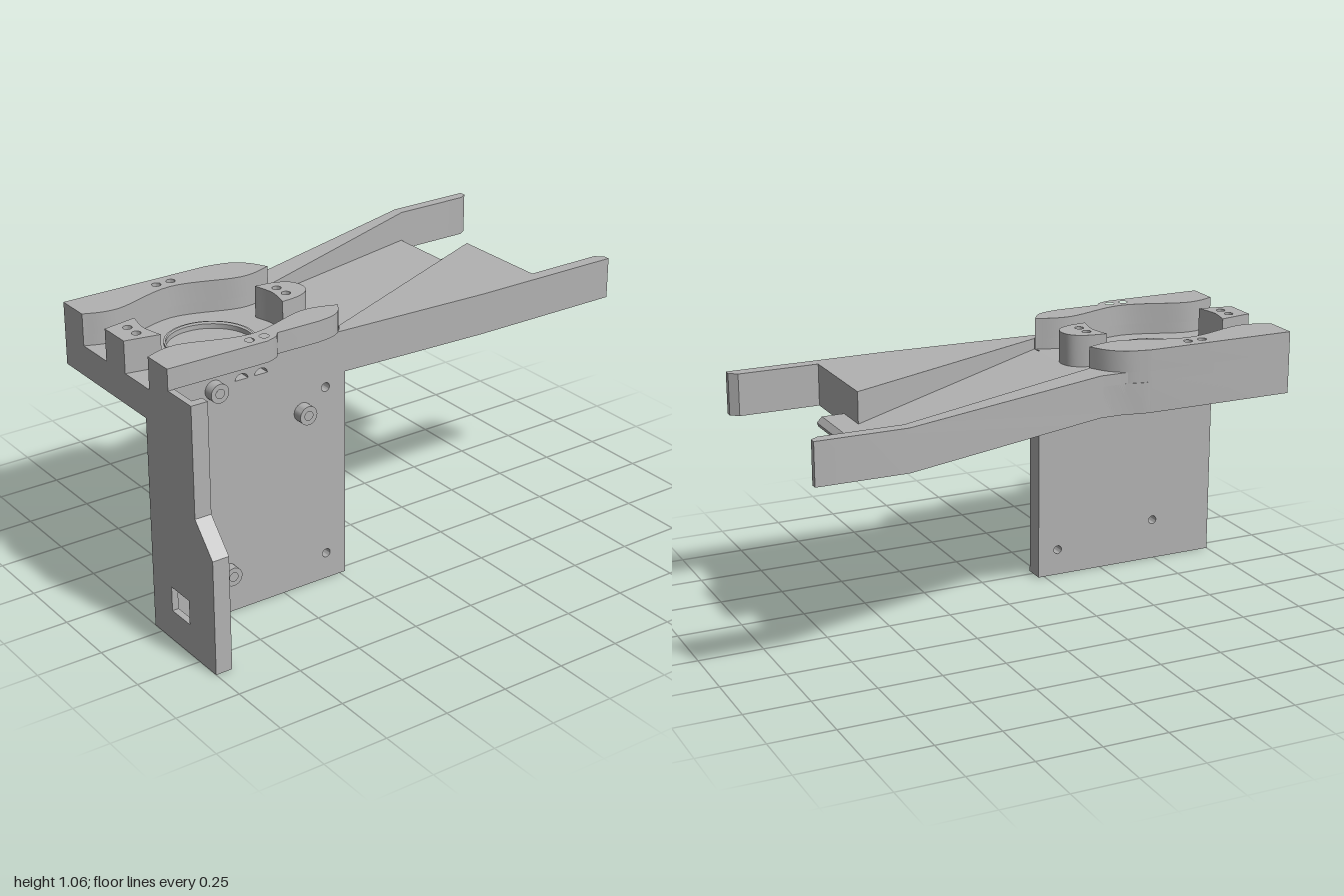
import * as THREE from 'three';
import { toCreasedNormals } from 'three/addons/utils/BufferGeometryUtils.js';

const grey = new THREE.MeshStandardMaterial({ color: 0xb2b2b2 });
grey.name = 'grey plastic';

const V = (p) => new THREE.Vector2(p[0], p[1]);

// Shape from an outline, with round [x, y, r] or polygonal holes
function makeShape(outline, holes = []) {
  const s = new THREE.Shape(outline.map(V));
  for (const h of holes) {
    const path = new THREE.Path();
    if (typeof h[0] === 'number') path.absarc(h[0], h[1], h[2], 0, Math.PI * 2, true);
    else path.setFromPoints(h.map(V));
    s.holes.push(path);
  }
  return s;
}

function extrude(outline, depth, holes) {
  return new THREE.ExtrudeGeometry(makeShape(outline, holes), { depth, bevelEnabled: false, curveSegments: 24 });
}

// Plan outline in [x, z], raised from y0 to y1
function plan(outline, y0, y1, holes = []) {
  const flipped = holes.map(([x, z, r]) => [x, -z, r]);
  return extrude(outline.map(([x, z]) => [x, -z]), y1 - y0, flipped).rotateX(-Math.PI / 2).translate(0, y0, 0);
}

// Outline in [z, y], raised from x0 to x1
function side(outline, x0, x1, holes = []) {
  const flipped = holes.map(([z, y, r]) => [-z, y, r]);
  return extrude(outline.map(([z, y]) => [-z, y]), x1 - x0, flipped).rotateY(Math.PI / 2).translate(x0, 0, 0);
}

const circle = (x, z, r, n = 64) => Array.from({ length: n }, (_, i) => {
  const a = (i / n) * Math.PI * 2;
  return [x + r * Math.cos(a), z + r * Math.sin(a)];
});
const spline = (pts, n = 28) => new THREE.SplineCurve(pts.map(V)).getPoints(n).map((p) => [p.x, p.y]);
const rect = (x0, y0, x1, y1) => [[x0, y0], [x1, y0], [x1, y1], [x0, y1]];

export function createModel() {
  const model = new THREE.Group();
  const add = (name, geo) => {
    const mesh = new THREE.Mesh(toCreasedNormals(geo, 0.5), grey);
    mesh.name = name;
    model.add(mesh);
  };

  const R = 0.017;
  const cx = 0.005, cz = 0.615;

  // Cradle floor with a round recess and raised lip
  add('cradleBase', plan(
    [[-0.355, 1], [0.2, 1], [0.2, 0.22], [-0.335, 0.22], [-0.335, 0.31], [-0.352, 0.37], [-0.355, 0.42]],
    0.82, 0.938, [[cx, cz, 0.158], [0.035, 0.31, R], [-0.025, 0.93, R]]));
  add('recessBottom', plan(circle(cx, cz, 0.159), 0.82, 0.9));
  add('recessFloor', plan(circle(cx, cz, 0.159), 0.9, 0.92, [[cx, cz, 0.016]]));
  add('recessLip', plan(circle(cx, cz, 0.166), 0.925, 0.946, [[cx, cz, 0.158]]));

  // Wavy side rails
  const wave = (s, o) => spline([[s * 0.225 + o, 1], [s * 0.195 + o, 0.87], [s * 0.265 + o, cz],
    [s * 0.195 + o, 0.36], [s * 0.225 + o, 0.22]]);
  const leftArc = spline([[0.23, 0.22], [0.28, 0.255], [0.305, 0.3], [0.315, 0.36]], 12);
  const rightArc = spline([[-0.22, 0.22], [-0.29, 0.26], [-0.335, 0.32], [-0.355, 0.41]], 12);
  const step = spline([[0.315, 0.535], [0.338, 0.555], [0.355, 0.6]], 8);
  const leftRail = [...wave(1, 0.005).slice(0, -1), ...leftArc, ...step, [0.355, 1]];
  const rightRail = [...wave(-1, 0.005).slice(0, -1), ...rightArc, [-0.355, 1]];
  const screws = (x) => [[x, 0.587, R], [x, 0.647, R]];
  add('leftRail', plan(leftRail, 0.98, 1.06, screws(0.312)));
  add('leftRailFoot', plan([...wave(1, 0.005), [0.28, 0.25], [0.28, 1]], 0.93, 0.98));
  add('rightRail', plan(rightRail, 0.98, 1.06, screws(-0.305)));
  add('rightRailFoot', plan(rightRail, 0.82, 0.98));

  // Centre posts with edges curved around the recess
  const arcFront = spline([[0.095, 0.868], [cx, 0.885], [-0.085, 0.868]], 12);
  const arcBack = spline([[-0.085, 0.365], [cx, 0.347], [0.095, 0.365]], 12);
  const dome = spline([[0.095, 0.365], [0.085, 0.29], [0.055, 0.237], [cx, 0.22],
    [-0.045, 0.237], [-0.075, 0.29], [-0.085, 0.365]], 28);
  add('frontPost', plan([...arcFront, [-0.075, 0.92], [-0.06, 1], [0.07, 1], [0.085, 0.92]],
    0.93, 1.06, [[-0.025, 0.93, R], [0.035, 0.93, R]]));
  add('backPost', plan([...arcBack, ...dome.slice(1, -1)], 0.93, 1.06, [[-0.025, 0.31, R], [0.035, 0.31, R]]));

  // Tail channel floor, sloping down to the back
  const floor = plan([[-0.565, -0.66], [0.255, -0.66], [0.28, 0.22], [-0.3, 0.22]], 0.82, 0.9);
  const pos = floor.attributes.position;
  for (let i = 0; i < pos.count; i++) {
    if (pos.getY(i) > 0.85) pos.setY(i, 0.86 + 0.078 * (pos.getZ(i) + 0.66) / 0.88);
  }
  add('tailFloor', floor);

  // Tail walls running out into the two arms
  add('rightArm', plan([[-0.61, -1], [-0.585, -1], [-0.565, -0.97], [-0.565, -0.66],
    [-0.225, 0.22], [-0.335, 0.32], [-0.335, 0.21], [-0.61, -0.66]], 0.82, 0.98));
  add('leftArm', plan([[0.305, -1], [0.28, -1], [0.255, -0.97], [0.255, -0.66], [-0.14, -0.66],
    [0.235, 0.22], [0.28, 0.25], [0.305, -0.38]], 0.82, 0.98));

  // Small chamfered tab at the end of the tail
  add('tailTab', side([[-0.65, 0.825], [-0.76, 0.825], [-0.765, 0.84], [-0.745, 0.86], [-0.65, 0.86]], -0.305, 0));

  // Upright side plate with screw holes and bosses
  const bosses = [[0.775, 0.895], [0.41, 0.71], [0.74, 0.165]];
  const slot = (z) => Array.from({ length: 9 }, (_, i) => {
    const a = (i / 8) * Math.PI;
    return [-z + 0.027 * Math.cos(a), 0.904 + 0.022 * Math.sin(a)];
  });
  const plateHoles = [...bosses, [0.31, 0.78], [0.31, 0.105]].map(([z, y]) => [-z, y, R]);
  add('sidePlate', extrude([[-1, 0], [-0.225, 0], [-0.225, 0.938], [-1, 0.938]], 0.08,
    [...plateHoles, slot(0.582), slot(0.662)]).rotateY(Math.PI / 2).translate(0.2, 0, 0));
  for (const [z, y] of bosses) {
    add('screwBoss', side(circle(z, y, 0.036, 32), 0.275, 0.32, [[z, y, R]]));
  }

  // Front panel: thin skin, inner layer with a square pocket, and rear rim
  const outline = [[0.28, 0], [0.605, 0], [0.605, 0.445], [0.5, 0.56], [0.5, 0.98], [0.28, 0.98]];
  const opening = rect(0.325, 0.12, 0.44, 0.215);
  add('panelSkin', extrude(outline, 0.012, [opening]).translate(0, 0, 0.988));
  add('panelInner', extrude(outline, 0.013, [opening, rect(0.325, 0.82, 0.44, 0.915)]).translate(0, 0, 0.975));
  add('panelRim', extrude([[0.28, 0], [0.605, 0], [0.605, 0.445], [0.5, 0.56], [0.5, 0.98], [0.465, 0.98],
    [0.465, 0.545], [0.57, 0.43], [0.57, 0.03], [0.28, 0.03]], 0.04).translate(0, 0, 0.935));

  return model;
}
